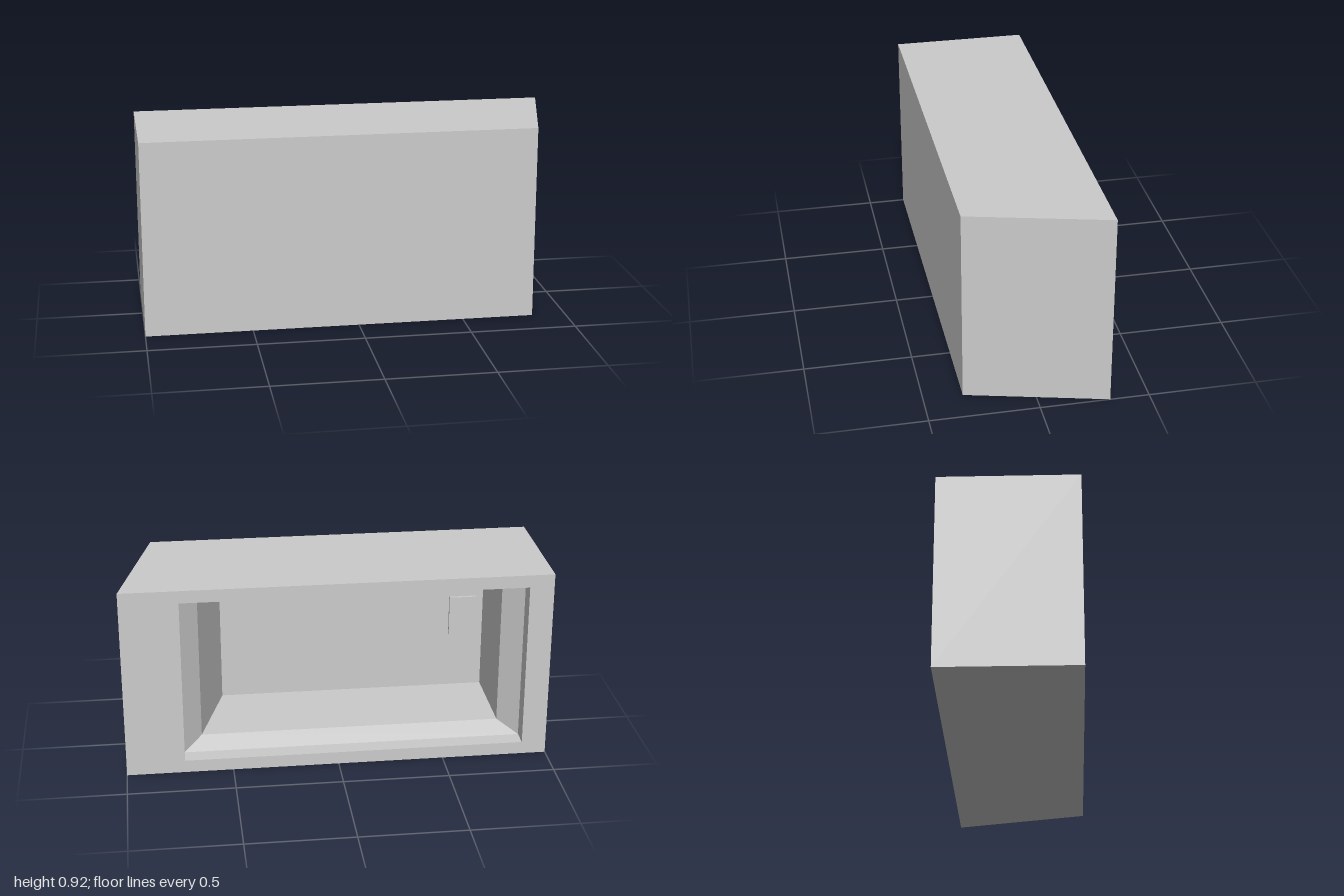
import * as THREE from 'three';

const material = new THREE.MeshStandardMaterial({ color: 0xcccccc, flatShading: true });

// Rectangular ring of four corners at depth z
const ring = (x0, x1, y0, y1, z) => [[x0, y0, z], [x1, y0, z], [x1, y1, z], [x0, y1, z]];

// Flat-faced walls joining successive rings, with optional caps at either end
function loft(name, rings, { capFirst = false, capLast = false } = {}) {
  const pos = [];
  const quad = (a, b, c, d) => pos.push(...a, ...b, ...c, ...a, ...c, ...d);
  for (let r = 0; r + 1 < rings.length; r++) {
    const a = rings[r], b = rings[r + 1];
    for (let i = 0; i < 4; i++) {
      const j = (i + 1) % 4;
      quad(a[i], b[i], b[j], a[j]);
    }
  }
  if (capFirst) quad(...rings[0]);
  if (capLast) quad(...rings[rings.length - 1].slice().reverse());
  const geometry = new THREE.BufferGeometry();
  geometry.setAttribute('position', new THREE.Float32BufferAttribute(pos, 3));
  geometry.computeVertexNormals();
  const mesh = new THREE.Mesh(geometry, material);
  mesh.name = name;
  return mesh;
}

export function createModel() {
  const model = new THREE.Group();
  model.name = 'openBackedBox';
  const H = 0.92, D = 0.32;

  const front = ring(-1, 0.84, 0, H, D);
  const back = ring(-1, 1, 0, H, -D);
  const opening = ring(-0.885, 0.727, 0.06, H - 0.06, -D);
  const lip = ring(-0.885, 0.727, 0.06, H - 0.06, -0.236);
  const bevel = ring(-0.798, 0.639, 0.098, H - 0.098, -0.136);
  const end = ring(-0.798, 0.517, 0.098, H - 0.098, 0.28);

  // Outer walls with one slanted side
  model.add(loft('outerShell', [front, back], { capFirst: true }));
  // Flat border around the rear opening
  model.add(loft('openingFrame', [back, opening]));
  // Straight lip, then the sloping surround that narrows inward
  model.add(loft('openingLip', [opening, lip]));
  model.add(loft('slopedSurround', [lip, bevel]));
  // Inner chamber, its left wall slanted like the outside
  model.add(loft('innerChamber', [bevel, end], { capLast: true }));

  // Thin plate on the chamber's far wall
  const plate = new THREE.Mesh(new THREE.BoxGeometry(0.135, 0.2, 0.015), material);
  plate.name = 'wallPlate';
  plate.position.set(-0.695, 0.48, 0.273);
  model.add(plate);

  return model;
}
